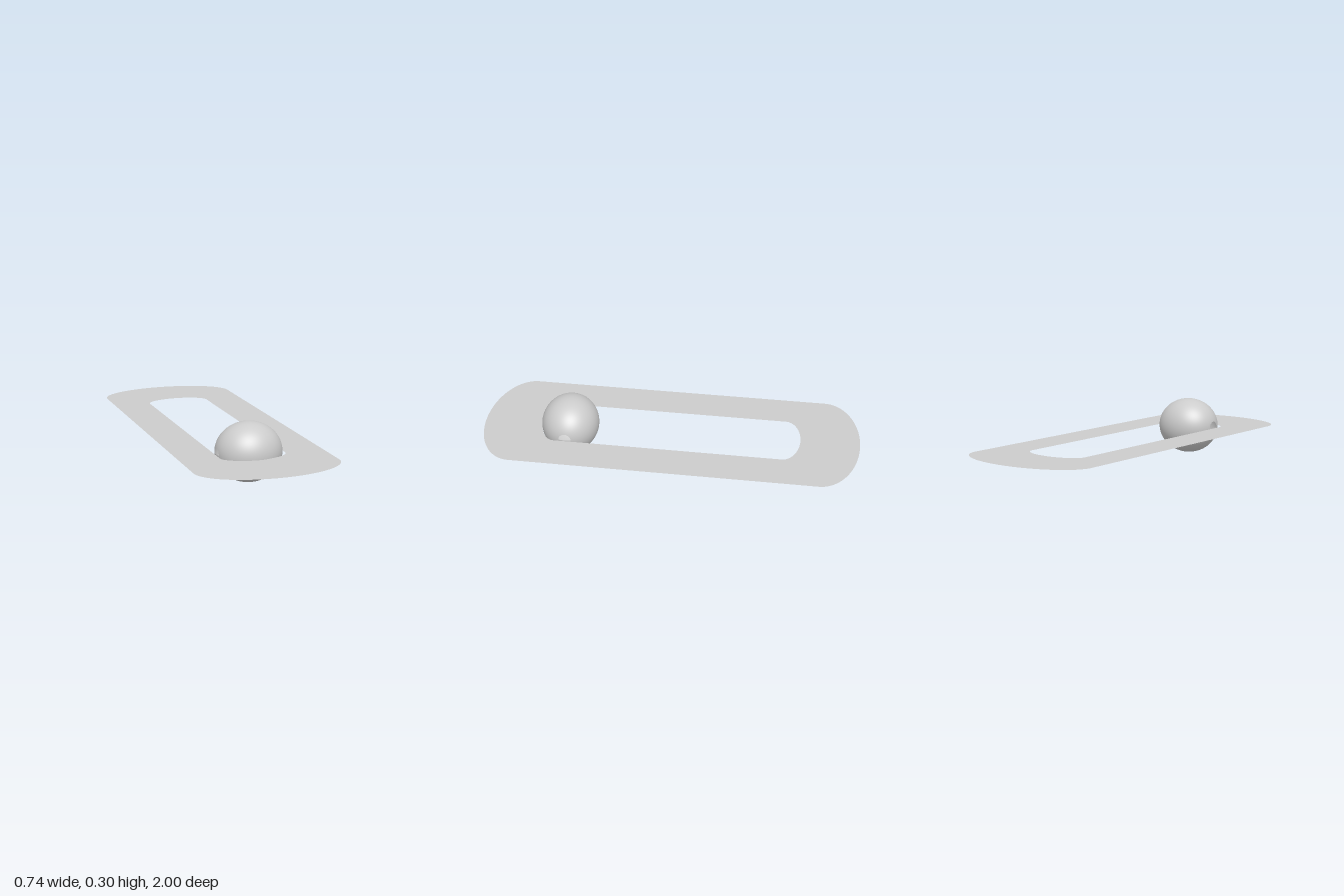
import * as THREE from 'three';

const grey = new THREE.MeshStandardMaterial({ color: 0xcccccc, side: THREE.DoubleSide });

// Slot outline: straight sides closed by half-elliptical ends
function slot(path, halfWidth, straight, end) {
  path.moveTo(halfWidth, -straight);
  path.lineTo(halfWidth, straight);
  path.absellipse(0, straight, halfWidth, end - straight, 0, Math.PI, false, 0);
  path.lineTo(-halfWidth, -straight);
  path.absellipse(0, -straight, halfWidth, end - straight, Math.PI, Math.PI * 2, false, 0);
  return path;
}

// Half of the bead shell, its poles lying on the x axis; capAngle leaves the poles open
function halfShell(name, phiStart, capAngle) {
  const geometry = new THREE.SphereGeometry(1, 32, 48, phiStart, Math.PI, capAngle, Math.PI - 2 * capAngle);
  geometry.rotateZ(-Math.PI / 2);
  geometry.scale(0.17, 0.152, 0.152);
  const mesh = new THREE.Mesh(geometry, grey);
  mesh.name = name;
  return mesh;
}

export function createModel() {
  const model = new THREE.Group();
  model.name = 'slottedPlateWithBead';

  // Thin flat plate with a long opening
  const outline = slot(new THREE.Shape(), 0.37, 0.8, 1);
  outline.holes.push(slot(new THREE.Path(), 0.17, 0.6, 0.688));
  const plate = new THREE.Mesh(new THREE.ShapeGeometry(outline, 40), grey);
  plate.name = 'plate';
  plate.rotation.x = -Math.PI / 2;
  plate.position.y = 0.148;
  model.add(plate);

  // Bead near the front of the opening, with arched side holes above its middle
  const bead = new THREE.Group();
  bead.name = 'bead';
  bead.add(halfShell('beadTop', -Math.PI / 2, 0.22));
  bead.add(halfShell('beadBottom', Math.PI / 2, 0));
  bead.position.set(0, 0.153, 0.542);
  model.add(bead);

  return model;
}
